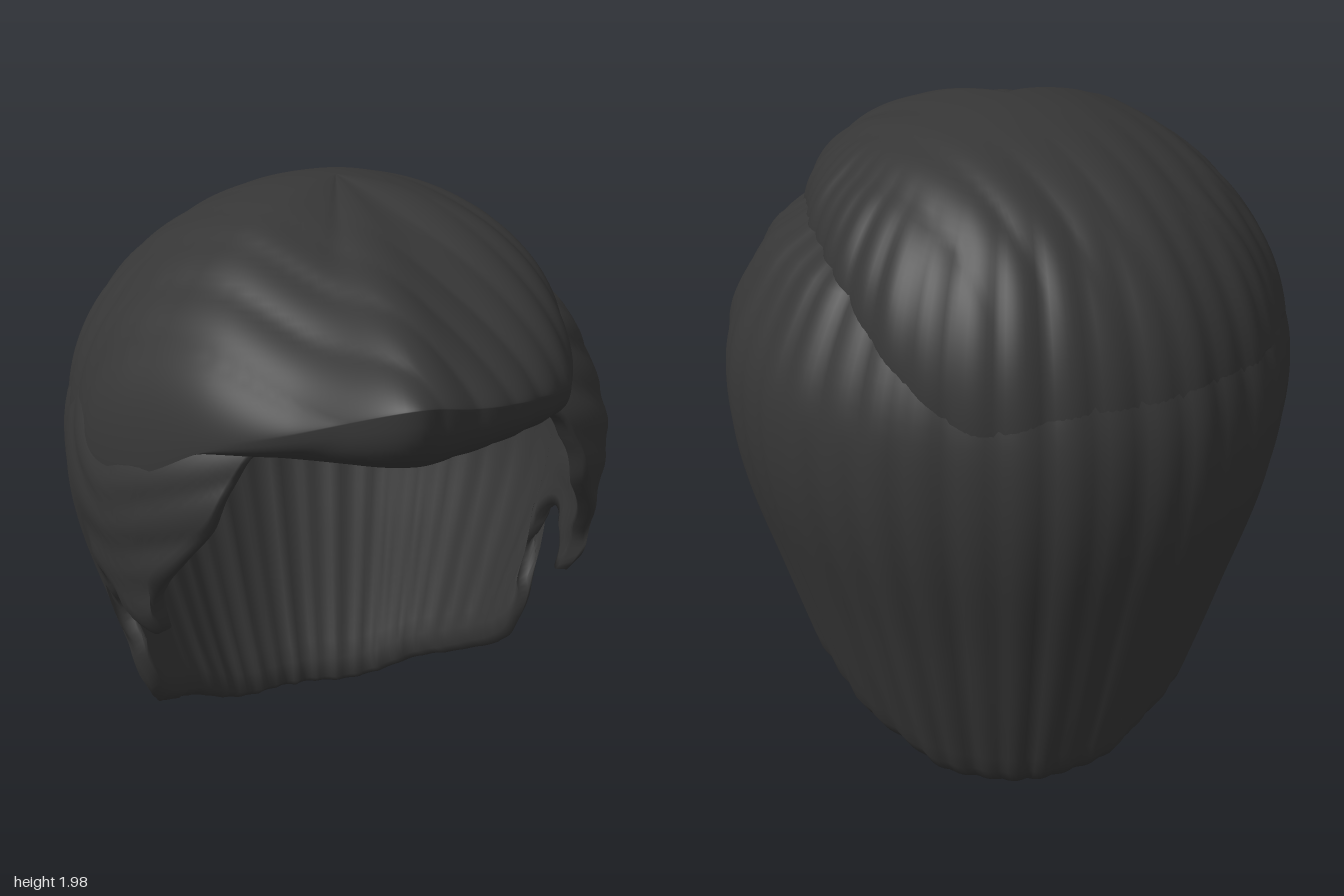
import * as THREE from 'three';

const CZ = -0.1; // z of the head's vertical axis
const { lerp, smoothstep } = THREE.MathUtils;

// Radius of the head of hair against height
const profile = new THREE.SplineCurve([
  [0.49, -0.03], [0.51, 0.03], [0.6, 0.3], [0.69, 0.6], [0.79, 0.95], [0.82, 1.2], [0.79, 1.4],
  [0.68, 1.6], [0.58, 1.68], [0.47, 1.75], [0.3, 1.84], [0.13, 1.89], [0, 1.9],
].map(([r, y]) => new THREE.Vector2(r, y))).getPoints(240);

function radiusAt(y) {
  for (let i = 1; i < profile.length; i++) {
    const a = profile[i - 1], b = profile[i];
    if (y <= b.y) return lerp(a.x, b.x, (y - a.y) / (b.y - a.y));
  }
  return 0;
}

// Surface from rows of points; every row is a closed ring
function ringSurface(rows) {
  const n = rows[0].length, index = [];
  for (let i = 0; i < rows.length - 1; i++) {
    for (let j = 0; j < n; j++) {
      const k = (j + 1) % n;
      const a = i * n + j, b = i * n + n + j, c = i * n + n + k, d = i * n + k;
      index.push(a, b, c, a, c, d);
    }
  }
  const g = new THREE.BufferGeometry();
  g.setAttribute('position', new THREE.Float32BufferAttribute(rows.flat(2), 3));
  g.setIndex(index);
  g.computeVertexNormals();
  return g;
}

// Rounded strand ridges of uneven height
const ridge = (p) => 0.011 * (Math.abs(Math.sin(p)) - 0.6 + 0.4 * Math.sin(p * 0.73 + 1));

// Lower edge of one half, as z and height: temple, sideburn, ear notch, nape
function hairline() {
  const pts = [
    [0.55, 1.44], [0.53, 1.32], [0.5, 1.2], [0.42, 1.08], [0.3, 0.93], [0.27, 0.81], [0.2, 0.77],
    [0.13, 0.8], [0.04, 0.88], [-0.04, 0.88], [-0.1, 0.83], [-0.11, 0.76], [-0.14, 0.69],
    [-0.07, 0.55], [-0.07, 0.42], [-0.12, 0.34], [-0.3, 0.22], [-0.45, 0.13], [-0.55, 0.03],
  ].map(([z, y]) => [Math.acos((z - CZ) / radiusAt(y)), y]);
  const all = [[0, 1.43], [0.3, 1.44], ...pts, [Math.PI, 0.01]];
  const curve = new THREE.CatmullRomCurve3(all.map(([a, y]) => new THREE.Vector3(a * 0.75, y, 0)));
  const n = 150;
  let most = 0;
  const half = curve.getSpacedPoints(n).map((p, i) => {
    const a = p.x / 0.75;
    most = Math.max(most, a);
    return { a, y: p.y, top: 0.75 * most + 0.25 * Math.PI * i / n };
  });
  const other = half.slice(1, -1).reverse().map((e) => ({
    a: 2 * Math.PI - e.a, y: e.y, top: 2 * Math.PI - e.top,
  }));
  return [...half, ...other];
}

// Hollow back and sides: outer wall, rounded rim, inner wall
function sidesGeometry() {
  const edge = hairline(), steps = 44, rows = [];
  const wall = (t, depth) => edge.map((e) => {
    const y = lerp(1.9, e.y, Math.pow(t, 1.6));
    const a = lerp(e.top, e.a, Math.pow(t, 5));
    const fromFront = Math.min(a, 2 * Math.PI - a);
    const sweep = 1 - smoothstep(fromFront, 1.2, 1.8); // temples are combed backwards
    const r0 = radiusAt(y);
    const strands = ridge(lerp(20 * fromFront, 7 * fromFront + 22 * y, sweep)) * smoothstep(r0, 0, 0.6);
    const r = Math.max(0, r0 - depth + strands);
    const lift = depth * Math.pow(t, 8) * (1 - smoothstep(e.y, 0.25, 0.6)); // nape rim faces forward
    const drop = depth * smoothstep(y, 1.5, 1.8);
    return [Math.sin(a) * r, y + lift - drop, CZ + Math.cos(a) * r];
  });
  for (let i = 0; i <= steps; i++) rows.push(wall(i / steps, i === steps ? 0.012 : 0));
  for (let i = steps; i >= 0; i--) rows.push(wall(i / steps, i === steps ? 0.045 : 0.055));
  return ringSurface(rows);
}

// Swept top: crown to a widest outline, then tucked under into the fringe
function topGeometry() {
  const outline = new THREE.CatmullRomCurve3([
    [-0.12, 1.65, 0.915], [0.06, 1.61, 0.85], [0.28, 1.57, 0.73], [0.49, 1.53, 0.5], [0.56, 1.6, 0.2],
    [0.57, 1.64, -0.1], [0.54, 1.61, -0.36], [0.44, 1.5, -0.66], [0.24, 1.36, -0.86],
    [0, 1.3, -0.9], [-0.3, 1.3, -0.84], [-0.59, 1.3, -0.64], [-0.76, 1.3, -0.35], [-0.8, 1.3, -0.1],
    [-0.775, 1.3, 0.12], [-0.69, 1.33, 0.32], [-0.56, 1.45, 0.52], [-0.38, 1.54, 0.7],
  ].map((p) => new THREE.Vector3(...p)), true);
  const n = 260, over = 40, under = 12, blur = 20, rows = [];
  const rim = Array.from({ length: n }, (_, j) => outline.getPoint(j / n));
  // rounder outline for the crown
  const round = rim.map((_, j) => {
    const sum = new THREE.Vector3();
    for (let d = -blur; d <= blur; d++) sum.add(rim[(j + d + n) % n]);
    return sum.divideScalar(2 * blur + 1);
  });
  for (let i = 0; i <= over + under; i++) {
    rows.push(rim.map((edge, j) => {
      const front = smoothstep(edge.z, 0.3, 0.85);
      const m = edge.clone();
      let f, y;
      if (i <= over) {
        const q = (i / over) * Math.PI / 2, p = lerp(2, 1.28, front);
        f = Math.pow(Math.sin(q), 2 / p);
        m.lerp(round[j], 1 - smoothstep(f, 0.1, 0.95));
        y = lerp(m.y, 2, Math.pow(Math.max(0, Math.cos(q)), 2 / p));
      } else {
        const q = ((i - over) / under) * Math.PI / 2;
        f = lerp(1, lerp(0.965, 0.75, front), 1 - Math.pow(Math.max(0, Math.cos(q)), 0.8));
        y = m.y - Math.max(0, m.y - 1.435) * smoothstep(m.z, 0.2, 0.55) * Math.pow(Math.sin(q), 0.8);
      }
      const x = m.x * f, z = CZ + (m.z - CZ) * f;
      // strands sweep from the parting to the front right, and hang straight at the back
      const hang = smoothstep(f, 0.6, 0.97) * (1 - smoothstep(z, -0.2, 0.2));
      const swept = ridge(24 * (0.85 * x - 0.52 * z)), straight = ridge(20 * Math.abs(Math.atan2(x, z - CZ)));
      const s = lerp(swept, straight, hang) * smoothstep(f, 0.15, 0.9);
      const len = Math.hypot(x, z - CZ, y - 1.3) || 1;
      return [x + (x / len) * s, y + ((y - 1.3) / len) * s, z + ((z - CZ) / len) * s];
    }));
  }
  return ringSurface(rows);
}

export function createModel() {
  const hair = new THREE.MeshStandardMaterial({ color: 0x363636, side: THREE.DoubleSide });
  hair.name = 'charcoal hair';
  const group = new THREE.Group();
  group.name = 'hair';
  const parts = { backAndSides: sidesGeometry(), sweptTop: topGeometry() };
  for (const [name, geometry] of Object.entries(parts)) {
    const mesh = new THREE.Mesh(geometry, hair);
    mesh.name = name;
    group.add(mesh);
  }
  return group;
}
